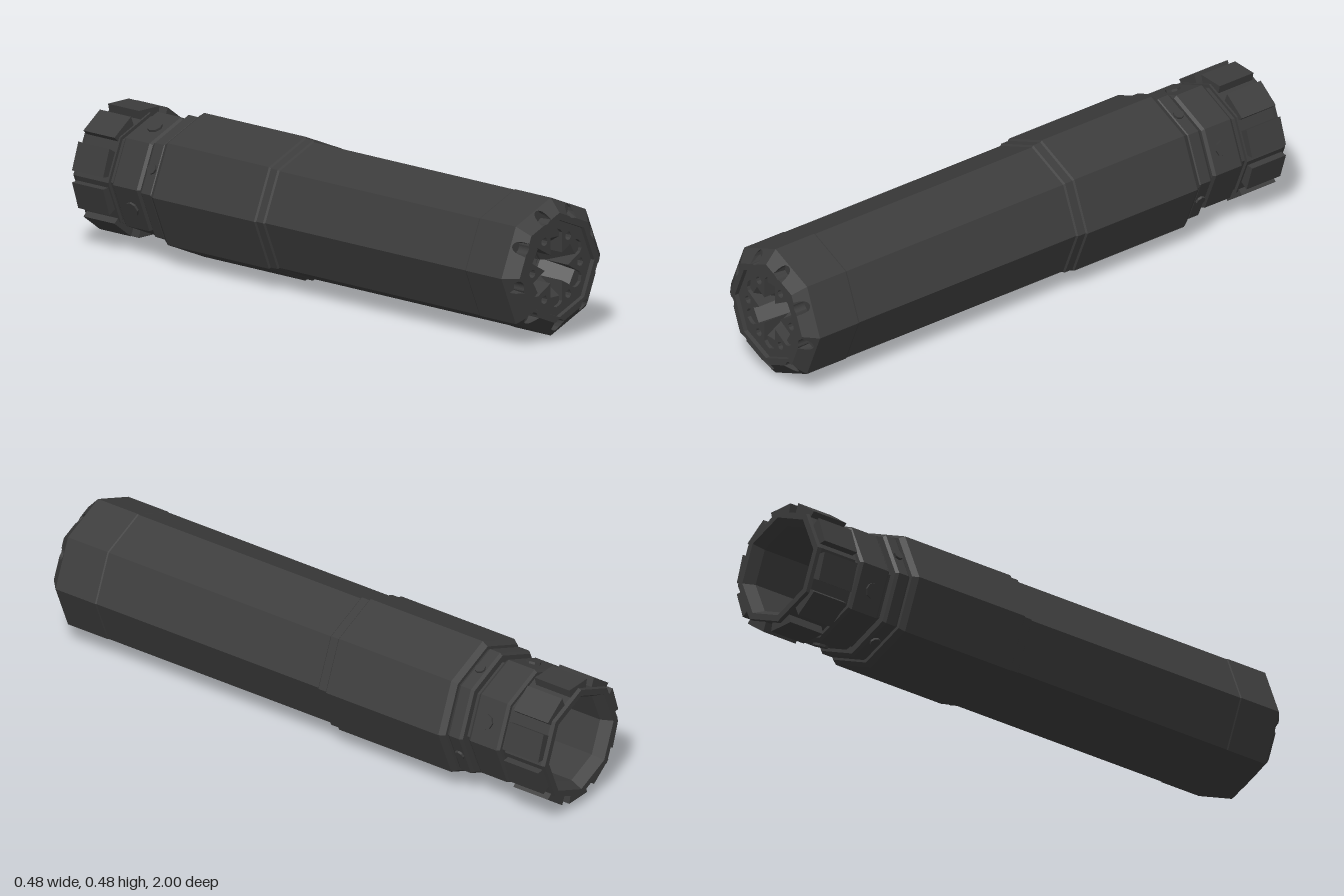
import * as THREE from 'three';

const CY = 0.244; // height of the tube's axis

export function createModel() {
  const model = new THREE.Group();
  const tube = new THREE.Group();
  tube.name = 'tube';
  tube.position.y = CY;
  model.add(tube);

  const darkMetal = new THREE.MeshStandardMaterial({ color: 0x3c3c3c });
  darkMetal.name = 'dark metal';

  // Adds a faceted mesh
  function add(name, geometry, parent = tube) {
    const g = geometry.index ? geometry.toNonIndexed() : geometry;
    g.computeVertexNormals();
    const mesh = new THREE.Mesh(g, darkMetal);
    mesh.name = name;
    parent.add(mesh);
    return mesh;
  }

  // Octagonal turned part from [radius, z] pairs, a corner pointing up
  function turned(name, profile, sides = 8) {
    const pts = profile.map(([r, z]) => new THREE.Vector2(r, z));
    return add(name, new THREE.LatheGeometry(pts, sides).rotateX(Math.PI / 2));
  }

  // Radius of an octagon with corner radius r, in direction a
  function oct(r, a) {
    const q = Math.PI / 4;
    const d = (((a % q) + q) % q) - q / 2;
    return r * Math.cos(q / 2) / Math.cos(d);
  }

  // Main body: front sleeve, then the thicker rear sleeve, with a through bore
  turned('frontSleeve', [
    [0.04, -0.16], [0.229, -0.16], [0.229, 0.795], [0.231, 0.8], [0.231, 0.96],
  ]);
  turned('rearSleeve', [
    [0.16, -0.62], [0.228, -0.62], [0.241, -0.6], [0.241, -0.145],
    [0.235, -0.14], [0.235, -0.11], [0.229, -0.105],
  ]);
  turned('bore', [
    [0.155, 0.86], [0.04, 0.86], [0.04, -0.6], [0.155, -0.6],
    [0.155, -0.96], [0.175, -1],
  ]);

  // Rear collars, stepped down from the sleeve
  turned('rearCollars', [
    [0.195, -0.85], [0.188, -0.84], [0.188, -0.82], [0.2, -0.82], [0.208, -0.81],
    [0.208, -0.705], [0.2, -0.695], [0.19, -0.695], [0.19, -0.68],
    [0.214, -0.68], [0.222, -0.67], [0.222, -0.63], [0.215, -0.62],
  ]);
  turned('rearRim', [[0.175, -1], [0.197, -1], [0.2, -0.985], [0.2, -0.84], [0.18, -0.84]]);

  // Grip lugs around the rear ring
  const lugShape = new THREE.Shape();
  const LUGS = 10, half = 0.225;
  lugShape.moveTo(0.18 * Math.sin(half), 0.18 * Math.cos(half));
  lugShape.lineTo(0.215 * Math.sin(half), 0.215 * Math.cos(half));
  lugShape.lineTo(-0.215 * Math.sin(half), 0.215 * Math.cos(half));
  lugShape.lineTo(-0.18 * Math.sin(half), 0.18 * Math.cos(half));
  for (let i = 0; i < LUGS; i++) {
    const g = new THREE.ExtrudeGeometry(lugShape, { depth: 0.14, bevelEnabled: false });
    const lug = add('gripLug', g.translate(0, 0.003, -0.987));
    lug.rotation.z = (i / LUGS) * Math.PI * 2;
  }

  // Locking pins on the collars
  for (let i = 0; i < 8; i++) {
    const holder = new THREE.Group();
    holder.name = 'lockingPin';
    holder.rotation.z = (i + 0.5) * Math.PI / 4;
    tube.add(holder);
    const big = i % 2 === 0;
    add('pinHead', new THREE.CylinderGeometry(big ? 0.026 : 0.018, big ? 0.026 : 0.018, 0.02, 8)
      .translate(0, big ? 0.19 : 0.203, big ? -0.75 : -0.65), holder);
  }

  // Front bevel with nine scooped dimples, lofted ring by ring
  const STEPS = 288, R = 0.19, rho = 0.021, floorZ = 0.955;
  const rows = [];
  for (let i = 0; i <= STEPS; i++) {
    const a = (i / STEPS) * Math.PI * 2;
    const pitch = Math.PI * 2 / 9;
    const t = (a + Math.PI / 2) / pitch;
    const d = (t - Math.round(t)) * pitch;
    const crease = oct(0.187, a), outer = oct(0.231, a);
    let near = crease, far = crease, z = 1;
    const s = rho * rho - (R * Math.sin(d)) ** 2;
    if (s > 0) {
      near = Math.min(crease, R * Math.cos(d) - Math.sqrt(s));
      far = Math.max(crease, R * Math.cos(d) + Math.sqrt(s));
      z = floorZ;
    }
    far = Math.min(far, outer);
    const bevelZ = 1 - 0.04 * (far - crease) / (outer - crease);
    const section = [[oct(0.161, a), 0.975], [oct(0.163, a), 1], [near, 1], [near, z],
      [far, z], [far, bevelZ], [outer, 0.96]];
    rows.push(section.map(([r, h]) => [r * Math.cos(a), r * Math.sin(a), h]));
  }
  const verts = [];
  for (let i = 0; i < STEPS; i++) {
    for (let j = 0; j < rows[i].length - 1; j++) {
      const a = rows[i][j], b = rows[i][j + 1], c = rows[i + 1][j + 1], d = rows[i + 1][j];
      verts.push(...a, ...b, ...c, ...a, ...c, ...d);
    }
  }
  const bevel = new THREE.BufferGeometry();
  bevel.setAttribute('position', new THREE.Float32BufferAttribute(verts, 3));
  add('frontBevel', bevel);

  // Front plate with a six-armed opening and six small holes
  const plate = new THREE.Shape();
  for (let i = 0; i < 8; i++) {
    const a = i * Math.PI / 4;
    plate[i ? 'lineTo' : 'moveTo'](0.162 * Math.cos(a), 0.162 * Math.sin(a));
  }
  const W = 0.027;
  const star = [];
  for (let i = 0; i < 6; i++) {
    const a = Math.PI / 6 + i * Math.PI / 3;
    const arm = [[0.047, -W], [0.115, -W], [0.125, -W * 0.7], [0.132, 0],
      [0.125, W * 0.7], [0.115, W]];
    for (const [r, w] of arm) {
      star.push(new THREE.Vector2(
        r * Math.cos(a) - w * Math.sin(a), r * Math.sin(a) + w * Math.cos(a)));
    }
  }
  plate.holes.push(new THREE.Path(star));
  for (let i = 0; i < 6; i++) {
    const a = i * Math.PI / 3;
    const hole = new THREE.Path();
    hole.absarc(0.112 * Math.cos(a), 0.112 * Math.sin(a), 0.014, 0, Math.PI * 2);
    plate.holes.push(hole);
  }
  add('frontPlate', new THREE.ExtrudeGeometry(plate,
    { depth: 0.125, bevelEnabled: false, curveSegments: 5 }).translate(0, 0, 0.86));

  // Sloped ramp in each arm, leading down to the bore
  const ramp = new THREE.Shape();
  ramp.moveTo(0.038, 0.85);
  ramp.lineTo(0.136, 0.85);
  ramp.lineTo(0.136, 0.972);
  ramp.lineTo(0.1, 0.972);
  ramp.lineTo(0.038, 0.87);
  for (let i = 0; i < 6; i++) {
    const g = new THREE.ExtrudeGeometry(ramp, { depth: 2 * W, bevelEnabled: false });
    g.translate(0, 0, -W).rotateX(Math.PI / 2);
    add('slotRamp', g).rotation.z = Math.PI / 6 + i * Math.PI / 3;
  }

  return model;
}
